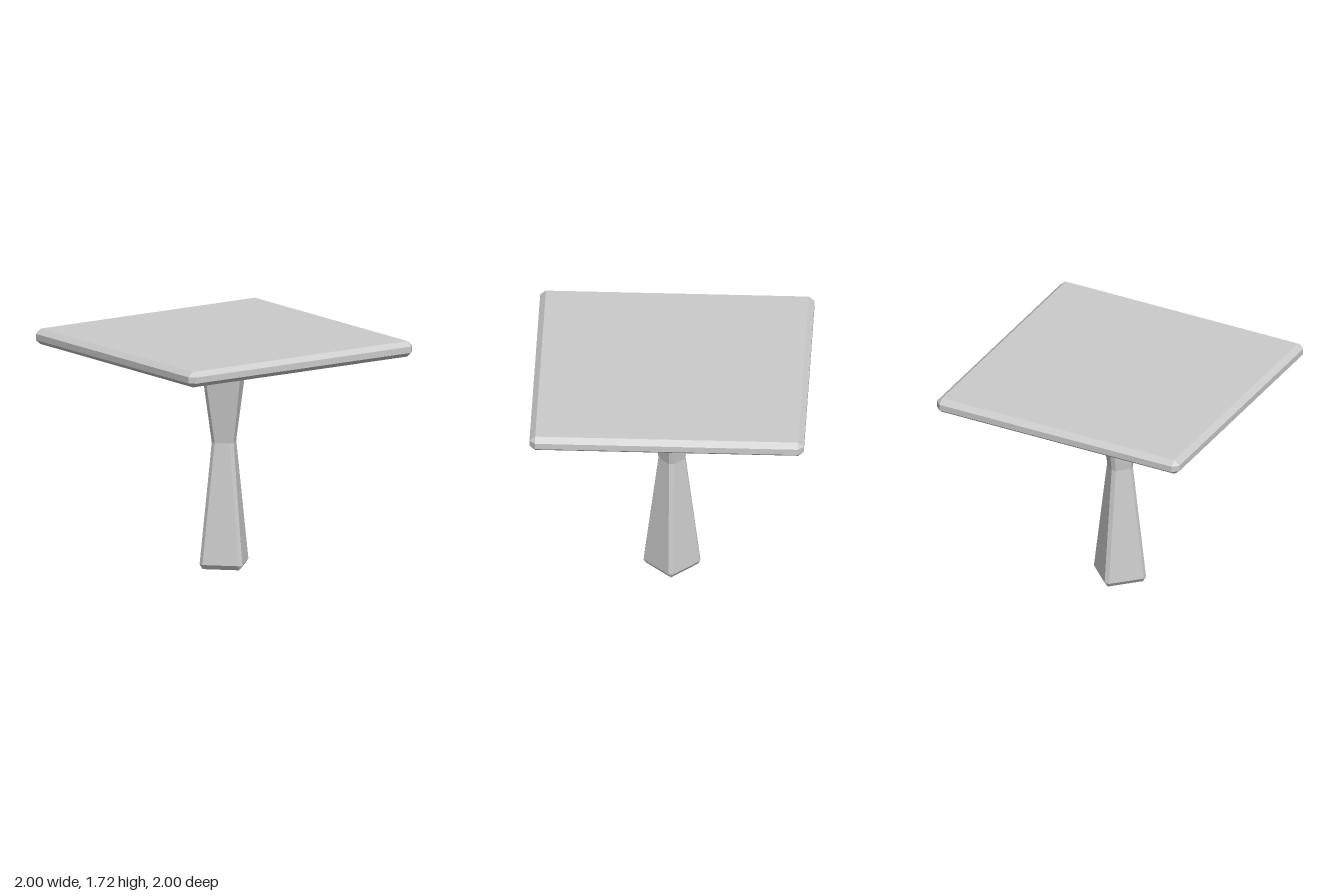
import * as THREE from 'three';

// Square section with chamfered corners: half width h, corner chamfer b, height y
function ring([y, h, b]) {
  const pts = [];
  for (let k = 0; k < 4; k++) {
    const c = Math.round(Math.cos(k * Math.PI / 2)), s = Math.round(Math.sin(k * Math.PI / 2));
    for (const [x, z] of [[h, h - b], [h - b, h]]) {
      pts.push(new THREE.Vector3(x * c - z * s, y, x * s + z * c));
    }
  }
  return pts;
}

// Skins a stack of sections from bottom to top and caps both ends
function loft(sections) {
  const rings = sections.map(ring), out = [];
  const tri = (a, b, c) => {
    if (new THREE.Triangle(a, b, c).getArea() > 1e-7) {
      for (const p of [a, b, c]) out.push(p.x, p.y, p.z);
    }
  };
  const last = rings.length - 1;
  const low = new THREE.Vector3(0, sections[0][0], 0);
  const high = new THREE.Vector3(0, sections[last][0], 0);
  for (let i = 0; i < 8; i++) {
    const j = (i + 1) % 8;
    for (let r = 0; r < last; r++) {
      const lo = rings[r], up = rings[r + 1];
      tri(lo[i], up[i], lo[j]);
      tri(lo[j], up[i], up[j]);
    }
    tri(low, rings[0][i], rings[0][j]);
    tri(high, rings[last][j], rings[last][i]);
  }
  const geo = new THREE.BufferGeometry();
  geo.setAttribute('position', new THREE.Float32BufferAttribute(out, 3));
  geo.computeVertexNormals();
  return geo;
}

export function createModel() {
  const group = new THREE.Group();
  group.name = 'pedestalTable';
  const material = new THREE.MeshStandardMaterial({ color: 0xcccccc, flatShading: true });

  // Bevelled square slab
  const top = new THREE.Mesh(loft([
    [1.605, 0.958, 0],
    [1.639, 1, 0.042],
    [1.685, 1, 0.042],
    [1.72, 0.958, 0],
  ]), material);
  top.name = 'tableTop';

  // Waisted pedestal, turned diagonally to the slab
  const pedestal = new THREE.Mesh(loft([
    [0, 0.134, 0],
    [0.035, 0.158, 0.025],
    [0.93, 0.081, 0.025],
    [1.595, 0.158, 0.025],
    [1.625, 0.134, 0],
  ]), material);
  pedestal.name = 'pedestal';
  pedestal.rotation.y = Math.PI / 4;

  group.add(top, pedestal);
  return group;
}
